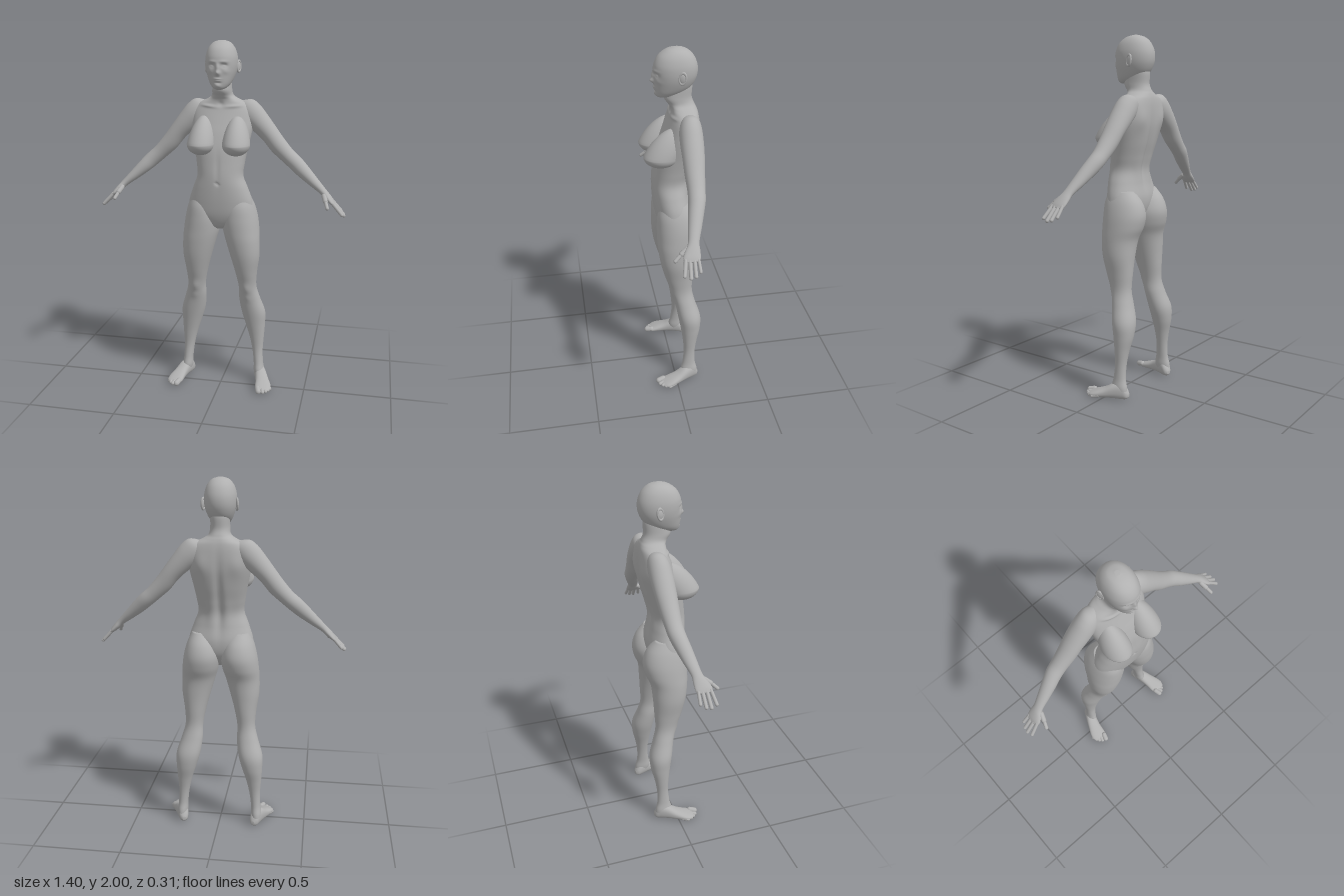
import * as THREE from 'three';

const skin = new THREE.MeshStandardMaterial({ color: 0xb0b0b0 });
skin.name = 'plain grey';

// Smooth interpolation through rows of numbers
function sampleRows(rows, t) {
  const n = rows.length - 1;
  const i = Math.min(Math.floor(t * n), n - 1), f = t * n - i;
  const at = k => rows[Math.max(0, Math.min(n, k))];
  const [p, q, r, s] = [at(i - 1), at(i), at(i + 1), at(i + 2)];
  return q.map((_, k) => {
    const m0 = (r[k] - p[k]) / 2, m1 = (s[k] - q[k]) / 2, d = q[k] - r[k];
    return ((2 * d + m0 + m1) * f - 3 * d - 2 * m0 - m1) * f * f + m0 * f + q[k];
  });
}

// Closed body through oval sections [y, xMin, xMax, zFront, zBack], listed top down
function loft(rows, { power = 2, sides = 48, steps = 6, rule } = {}) {
  const rings = (rows.length - 1) * steps, pos = [], index = [];
  const oval = v => Math.sign(v) * Math.abs(v) ** (2 / power);
  const push = (x, y, z) => pos.push(x, y, z + (rule ? rule(x, y, z) : 0));
  for (let j = 0; j <= rings; j++) {
    const [y, x0, x1, zf, zb] = sampleRows(rows, j / rings);
    for (let i = 0; i < sides; i++) {
      const a = (i / sides) * Math.PI * 2;
      push((x0 + x1) / 2 + ((x1 - x0) / 2) * oval(Math.cos(a)), y,
        (zf + zb) / 2 + ((zf - zb) / 2) * oval(Math.sin(a)));
    }
  }
  for (const r of [rows[0], rows[rows.length - 1]]) push((r[1] + r[2]) / 2, r[0], (r[3] + r[4]) / 2);
  const top = (rings + 1) * sides, last = rings * sides;
  for (let i = 0; i < sides; i++) {
    const k = (i + 1) % sides;
    index.push(top, k, i, top + 1, last + i, last + k);
    for (let j = 0; j < rings; j++) {
      const a = j * sides + i, b = j * sides + k;
      index.push(a, b, a + sides, b, b + sides, a + sides);
    }
  }
  const g = new THREE.BufferGeometry();
  g.setAttribute('position', new THREE.Float32BufferAttribute(pos, 3));
  g.setIndex(index);
  g.computeVertexNormals();
  return g;
}

const symmetric = rows => rows.map(([y, w, f, b]) => [y, -w, w, f, b]);

// Soft mirrored swellings [x, y, width, height, amount]
const swell = (list, x, y) => list.reduce((sum, [cx, cy, w, h, amount]) =>
  sum + amount * Math.exp(-(((Math.abs(x) - cx) / w) ** 2) - ((y - cy) / h) ** 2), 0);

// Rounded finger or toe between two points
function digit(a, b, r, flat = 1) {
  const p = new THREE.Vector3(...a), q = new THREE.Vector3(...b), d = q.clone().sub(p);
  const g = new THREE.CapsuleGeometry(r, Math.max(d.length() - r, 0.004), 6, 14);
  g.scale(flat, 1, 1);
  g.applyQuaternion(new THREE.Quaternion().setFromUnitVectors(new THREE.Vector3(0, 1, 0), d.clone().normalize()));
  const m = p.add(q).multiplyScalar(0.5);
  return g.translate(m.x, m.y, m.z);
}

function mirrored(geometry) {
  const g = geometry.clone().scale(-1, 1, 1), ix = g.index.array;
  for (let i = 0; i < ix.length; i += 3) [ix[i], ix[i + 1]] = [ix[i + 1], ix[i]];
  g.computeVertexNormals();
  return g;
}

export function createModel() {
  const model = new THREE.Group();
  model.name = 'standing figure';
  const add = (name, g) => {
    const mesh = new THREE.Mesh(g, skin);
    mesh.name = name;
    model.add(mesh);
  };
  const pair = (name, g) => { add('left ' + name, g); add('right ' + name, mirrored(g)); };

  // Head with modelled face
  const face = [
    [0, 1.832, 0.013, 0.013, 0.018], [0, 1.858, 0.010, 0.022, 0.011],
    [0.034, 1.870, 0.016, 0.011, -0.013], [0.034, 1.867, 0.010, 0.006, 0.006],
    [0.030, 1.890, 0.024, 0.008, 0.004], [0, 1.800, 0.018, 0.005, 0.006],
    [0, 1.790, 0.016, 0.004, 0.005], [0, 1.779, 0.016, 0.005, -0.004],
    [0, 1.762, 0.018, 0.011, 0.006], [0.045, 1.838, 0.016, 0.014, 0.004],
  ];
  add('head', loft(symmetric([
    [2.000, 0.012, -0.018, -0.045], [1.988, 0.046, 0.022, -0.085], [1.960, 0.070, 0.060, -0.118],
    [1.920, 0.084, 0.082, -0.138], [1.880, 0.087, 0.087, -0.143], [1.840, 0.082, 0.085, -0.135],
    [1.800, 0.069, 0.083, -0.112], [1.770, 0.054, 0.079, -0.070], [1.750, 0.035, 0.072, -0.020],
    [1.741, 0.014, 0.058, 0.010],
  ]), { power: 2.15, sides: 112, steps: 11,
    rule: (x, y, z) => swell(face, x, y) * THREE.MathUtils.smoothstep(z, 0, 0.04) }));

  // Ears: rim and inner shell
  const rim = new THREE.TorusGeometry(0.022, 0.006, 10, 28);
  const shell = new THREE.SphereGeometry(0.022, 20, 14).scale(0.85, 1.1, 0.3);
  for (const [name, g] of [['ear rim', rim], ['ear shell', shell]]) {
    if (g === rim) g.scale(0.8, 1.3, 1);
    pair(name, g.rotateY(Math.PI / 2 - 0.35).rotateX(-0.15).translate(0.09, 1.862, -0.05));
  }

  // Neck and trunk, with collarbones, spine furrow, shoulder blades and navel
  const front = [[0, 1.235, 0.008, 0.007, -0.012], [0, 1.32, 0.012, 0.09, -0.004], [0, 1.66, 0.014, 0.014, -0.006]];
  const back = [[0, 1.38, 0.02, 0.19, 0.014], [0.10, 1.55, 0.045, 0.06, -0.010], [0.045, 1.27, 0.03, 0.09, -0.006]];
  add('trunk', loft(symmetric([
    [1.850, 0.045, 0.000, -0.105], [1.800, 0.051, 0.018, -0.116], [1.740, 0.053, 0.032, -0.114],
    [1.705, 0.060, 0.012, -0.126], [1.685, 0.088, 0.000, -0.136], [1.660, 0.138, -0.001, -0.144],
    [1.620, 0.168, 0.012, -0.149], [1.560, 0.172, 0.036, -0.150], [1.500, 0.165, 0.060, -0.145],
    [1.420, 0.149, 0.084, -0.128], [1.340, 0.135, 0.096, -0.103], [1.270, 0.129, 0.103, -0.085],
    [1.200, 0.154, 0.102, -0.092], [1.120, 0.180, 0.095, -0.108], [1.050, 0.180, 0.083, -0.100],
    [0.995, 0.095, 0.062, -0.070], [0.965, 0.025, 0.035, -0.040],
  ]), { power: 2.2, sides: 96, steps: 8, rule: (x, y, z) => {
    if (z < -0.05) return swell(back, x, y) * THREE.MathUtils.smoothstep(-z, 0.05, 0.08);
    const bone = Math.exp(-(((y - 1.642 - 0.1 * Math.abs(x)) / 0.008) ** 2) - ((Math.abs(x) - 0.075) / 0.05) ** 2);
    return (swell(front, x, y) + 0.007 * bone) * THREE.MathUtils.smoothstep(z, -0.05, -0.01);
  } }));

  // Breasts: ovals drawn out into a slope towards the collarbone
  const breast = new THREE.SphereGeometry(1, 48, 36).rotateY(-Math.PI / 2);
  const bp = breast.attributes.position;
  for (let i = 0; i < bp.count; i++) {
    const y = bp.getY(i), up = Math.max(y, 0);
    bp.setXYZ(i, 0.098 + bp.getX(i) * (0.076 - 0.012 * up) - 0.006 * up,
      1.450 + y * (y > 0 ? 0.15 : 0.062), 0.063 + bp.getZ(i) * 0.095 - 0.072 * up);
  }
  breast.computeVertexNormals();
  pair('breast', breast);

  // Legs from hip to ankle
  const knee = [[0.150, 0.605, 0.028, 0.032, 0.009], [0.155, 0.545, 0.02, 0.02, 0.004]];
  pair('leg', loft([
    [1.160, 0.055, 0.160, 0.060, -0.085], [1.100, 0.022, 0.187, 0.084, -0.134],
    [1.030, 0.004, 0.206, 0.091, -0.156], [0.960, 0.010, 0.216, 0.091, -0.146],
    [0.890, 0.030, 0.221, 0.088, -0.119], [0.800, 0.056, 0.221, 0.076, -0.110],
    [0.700, 0.083, 0.207, 0.050, -0.105], [0.610, 0.100, 0.202, 0.018, -0.102],
    [0.530, 0.100, 0.222, -0.002, -0.120], [0.440, 0.112, 0.250, -0.018, -0.147],
    [0.360, 0.135, 0.250, -0.032, -0.144], [0.280, 0.160, 0.245, -0.043, -0.126],
    [0.200, 0.178, 0.240, -0.048, -0.114], [0.120, 0.188, 0.243, -0.040, -0.114],
    [0.070, 0.189, 0.250, -0.030, -0.125], [0.030, 0.195, 0.246, -0.040, -0.128],
  ], { power: 2.1, sides: 56, rule: (x, y, z) => (z > -0.04 ? swell(knee, x, y) : 0) }));

  // Feet, built along their length and turned outwards
  const placeFoot = g => g.rotateY(0.32).translate(0.215, 0, -0.098);
  pair('foot', placeFoot(loft([
    [0.202, -0.040, 0.020, -0.006, -0.020], [0.182, -0.049, 0.040, -0.002, -0.029],
    [0.150, -0.046, 0.047, 0.000, -0.042], [0.100, -0.036, 0.043, -0.001, -0.062],
    [0.050, -0.032, 0.038, -0.002, -0.088], [0.005, -0.030, 0.032, 0.000, -0.095],
    [-0.022, -0.024, 0.025, -0.003, -0.062], [-0.036, -0.010, 0.010, -0.014, -0.035],
  ], { power: 2.3 }).rotateX(Math.PI / 2)));
  const toes = [[-0.037, 0.216, 0.016], [-0.012, 0.216, 0.011], [0.007, 0.207, 0.0105], [0.024, 0.194, 0.010], [0.039, 0.175, 0.0095]];
  toes.forEach(([x, z, r], i) =>
    pair('toe ' + (i + 1), placeFoot(digit([x * 0.95, r + 0.008, z - 0.045], [x, r, z], r))));

  // Arms, built hanging and swung out to the side
  const placeArm = g => g.rotateZ(Math.PI / 4).translate(0.19, 1.6, 0);
  pair('arm', placeArm(loft([
    [0.115, -0.050, -0.010, -0.062, -0.105], [0.080, -0.072, 0.036, -0.036, -0.130],
    [0.030, -0.085, 0.047, -0.021, -0.139], [-0.040, -0.080, 0.040, -0.018, -0.139],
    [-0.120, -0.075, 0.028, -0.020, -0.134], [-0.200, -0.082, 0.016, -0.022, -0.126],
    [-0.280, -0.077, 0.009, -0.025, -0.117], [-0.340, -0.072, 0.012, -0.021, -0.110],
    [-0.400, -0.066, 0.011, -0.011, -0.094], [-0.480, -0.052, 0.006, 0.000, -0.070],
    [-0.550, -0.038, 0.002, 0.010, -0.048], [-0.590, -0.037, 0.000, 0.030, -0.047],
    [-0.625, -0.033, -0.004, 0.043, -0.045], [-0.648, -0.026, -0.010, 0.038, -0.038],
  ], { sides: 40 })));

  // Fingers [knuckle z, tip z, tip y, radius] and thumb
  const fingers = [[0.031, 0.047, -0.717, 0.0095], [0.010, 0.016, -0.730, 0.0098], [-0.012, -0.010, -0.724, 0.0095], [-0.032, -0.036, -0.703, 0.0085]];
  fingers.forEach(([z0, z1, y, r], i) =>
    pair('finger ' + (i + 1), placeArm(digit([-0.017, -0.630, z0], [-0.021, y, z1], r))));
  pair('thumb base', placeArm(digit([-0.024, -0.570, 0.008], [-0.036, -0.602, 0.050], 0.0135)));
  pair('thumb', placeArm(digit([-0.033, -0.595, 0.042], [-0.048, -0.632, 0.082], 0.0098)));

  return model;
}
